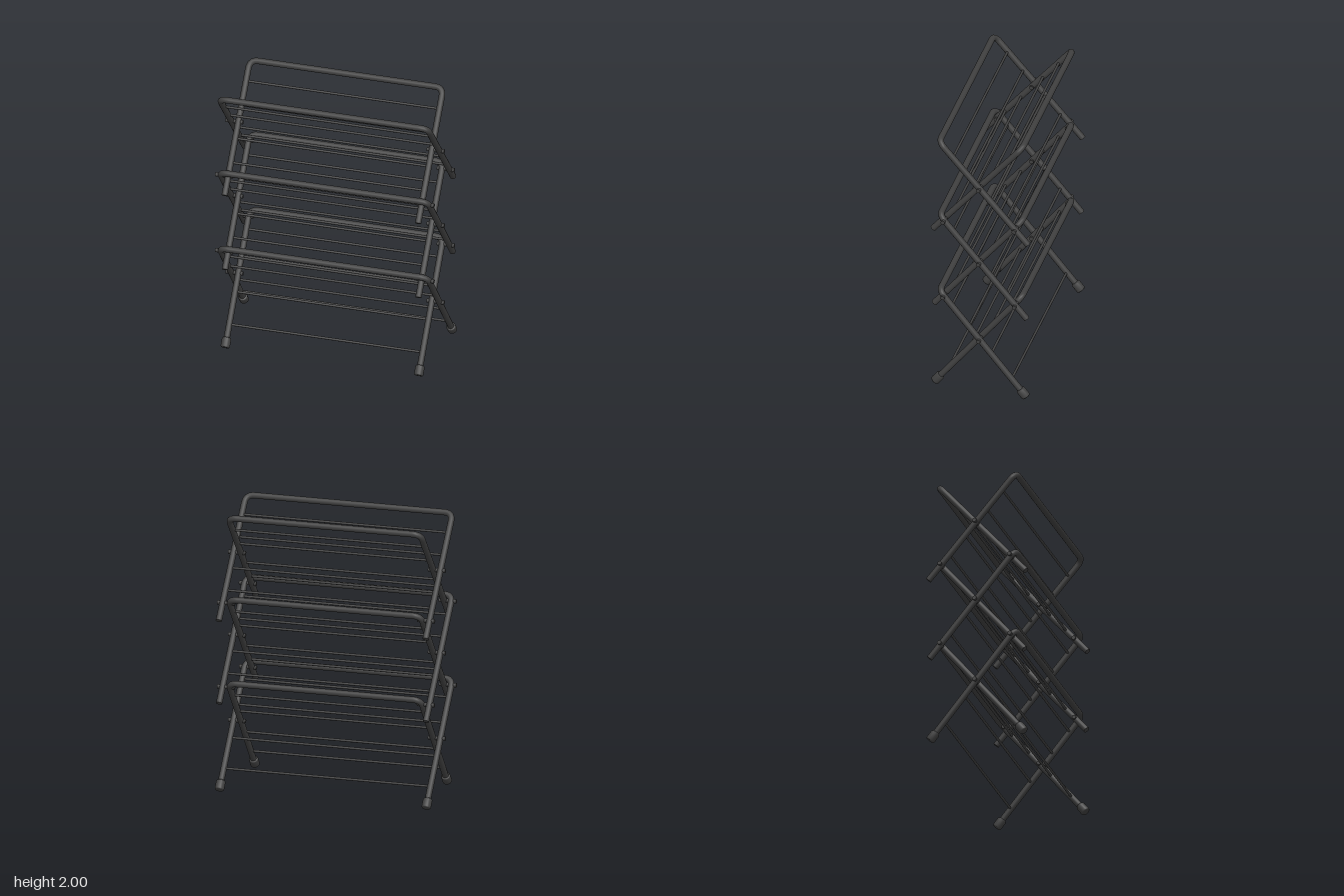
import * as THREE from 'three';

const TUBE_R = 0.022, CORNER = 0.06;

// Three stacked scissor tiers: pivot height, lean, reach above / below pivot, rod heights from pivot
const TIERS = [
  { y: 1.645, lean: 0.715, up: 0.442, down: 0.528, rods: [0.22, 0.09, -0.09, -0.22] },
  { y: 1.05, lean: 0.7, up: 0.442, down: 0.525, rods: [0.225, 0.095, -0.095, -0.225] },
  { y: 0.432, lean: 0.685, up: 0.453, down: 0.53, rods: [0.243, 0.093, -0.102, -0.282], feet: true },
];

export function createModel() {
  const root = new THREE.Group();
  root.name = 'dryingRack';
  const metal = new THREE.MeshStandardMaterial({ color: 0x404040 });
  metal.name = 'darkGrey';

  const add = (parent, geometry, name, x = 0, y = 0, z = 0) => {
    const mesh = new THREE.Mesh(geometry, metal);
    mesh.name = name;
    mesh.position.set(x, y, z);
    parent.add(mesh);
    return mesh;
  };
  const bar = (radius, length) => new THREE.CylinderGeometry(radius, radius, length, 12).rotateZ(Math.PI / 2);

  // Upside-down U path with rounded corners
  const hoopPath = (half, up, down) => {
    const v = (x, y) => new THREE.Vector3(x, y, 0);
    const path = new THREE.CurvePath();
    path.add(new THREE.LineCurve3(v(-half, -down), v(-half, up - CORNER)));
    path.add(new THREE.QuadraticBezierCurve3(v(-half, up - CORNER), v(-half, up), v(-half + CORNER, up)));
    path.add(new THREE.LineCurve3(v(-half + CORNER, up), v(half - CORNER, up)));
    path.add(new THREE.QuadraticBezierCurve3(v(half - CORNER, up), v(half, up), v(half, up - CORNER)));
    path.add(new THREE.LineCurve3(v(half, up - CORNER), v(half, -down)));
    return path;
  };

  // Rubber foot with chamfered rims
  const footGeometry = new THREE.LatheGeometry(
    [[0, 0], [0.027, 0], [0.033, 0.008], [0.033, 0.064], [0.027, 0.072], [0, 0.072]]
      .map(([x, y]) => new THREE.Vector2(x, y)), 16);
  const capGeometry = new THREE.CircleGeometry(TUBE_R, 16).rotateX(Math.PI / 2);

  const buildFrame = (tier, half, direction, name) => {
    const frame = new THREE.Group();
    frame.name = name;
    frame.position.y = tier.y;
    frame.rotation.x = direction * tier.lean;
    add(frame, new THREE.TubeGeometry(hoopPath(half, tier.up, tier.down), 160, TUBE_R, 14), 'hoop');
    for (const dy of tier.rods) add(frame, bar(0.009, half * 2), 'hangingRod', 0, dy / Math.cos(tier.lean), 0);
    for (const side of [-1, 1]) {
      if (tier.feet) add(frame, footGeometry, 'foot', side * half, -tier.down, 0);
      else add(frame, capGeometry, 'tubeEnd', side * half, -tier.down, 0);
    }
    root.add(frame);
  };

  const addPins = (y, z) => {
    for (const side of [-1, 1]) add(root, bar(0.015, 0.125), 'hingePin', side * 0.725, y, z);
  };

  TIERS.forEach((tier, i) => {
    // Wide frame leans forward, narrow frame leans back
    buildFrame(tier, 0.75, 1, 'wideFrame');
    buildFrame(tier, 0.697, -1, 'narrowFrame');
    addPins(tier.y, 0);
    // Hinges where this tier meets the one below
    const next = TIERS[i + 1];
    if (next) {
      const a = 1 / Math.tan(tier.lean), b = 1 / Math.tan(next.lean);
      const z = (tier.y - next.y) / (a + b);
      for (const s of [-1, 1]) addPins(tier.y - a * z, s * z);
    }
  });

  // The whole rack is turned slightly
  root.rotation.y = 0.028;
  const model = new THREE.Group();
  model.name = 'model';
  model.add(root);
  return model;
}
